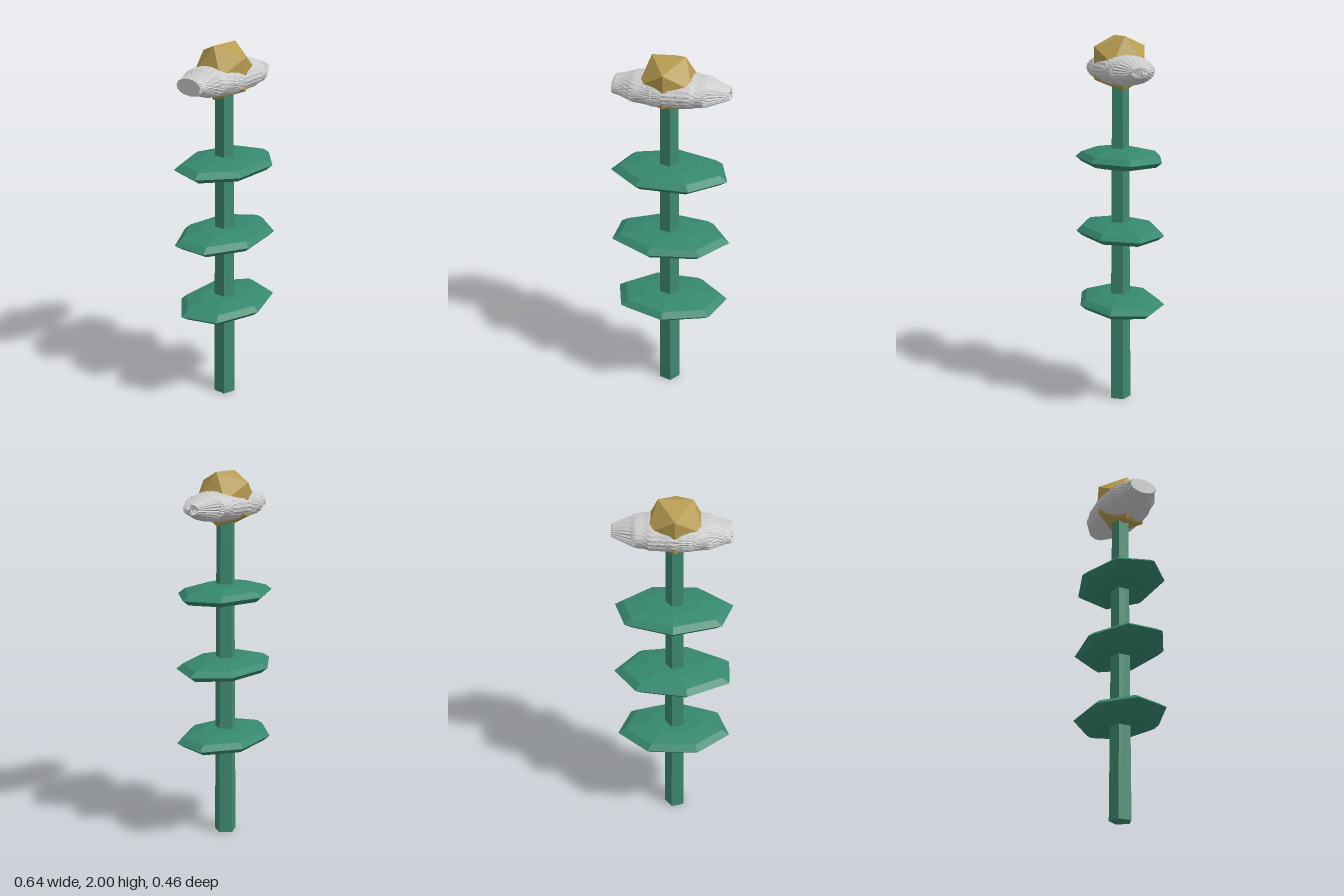
import * as THREE from 'three';

const CX = -0.008; // axis of the stem
const mat = (color) => new THREE.MeshStandardMaterial({ color, flatShading: true });

function add(group, name, geometry, material, x, y) {
  const mesh = new THREE.Mesh(geometry, material);
  mesh.name = name;
  mesh.position.set(x, y, 0);
  group.add(mesh);
}

// Seven-sided low-poly ball with one rim corner pointing to +x
const ball = (rows) => new THREE.SphereGeometry(1, 7, rows, Math.PI);

export function createModel() {
  const root = new THREE.Group();
  root.name = 'flower';
  const stemGreen = mat(0x3f8a70);
  const leafGreen = mat(0x36886f);
  const grey = mat(0xcccccc);
  const gold = mat(0xb89c50);

  // Five-sided tapering stem with a corner towards +x
  const stem = new THREE.CylinderGeometry(0.049, 0.061, 1.8, 5, 1, false, Math.PI / 2);
  add(root, 'stem', stem, stemGreen, -0.011, 0.9);

  // Three flat oval leaves, each turned a quarter from the one below
  for (let i = 0; i < 3; i++) {
    const leaf = ball(6);
    leaf.rotateY((i - 1) * Math.PI / 2);
    leaf.scale(i === 1 ? 0.33 : 0.32, 0.055, 0.229);
    add(root, 'leaf' + (i + 1), leaf, leafGreen, i === 1 ? CX : -0.003, 0.555 + i * 0.4);
  }

  // Spiky bloom: overlapping balls spun about x, then flattened together
  const bloom = new THREE.Group();
  bloom.name = 'bloom';
  root.add(bloom);
  const count = 12;
  for (let i = 0; i < count; i++) {
    const petal = ball(5);
    petal.rotateX(i * Math.PI / count);
    petal.scale(0.333, 0.086, 0.153);
    add(bloom, 'petal' + (i + 1), petal, grey, CX, 1.826);
  }

  // Faceted centre of the bloom
  add(root, 'flowerCentre', new THREE.IcosahedronGeometry(0.1646, 0), gold, -0.011, 1.86);

  return root;
}
